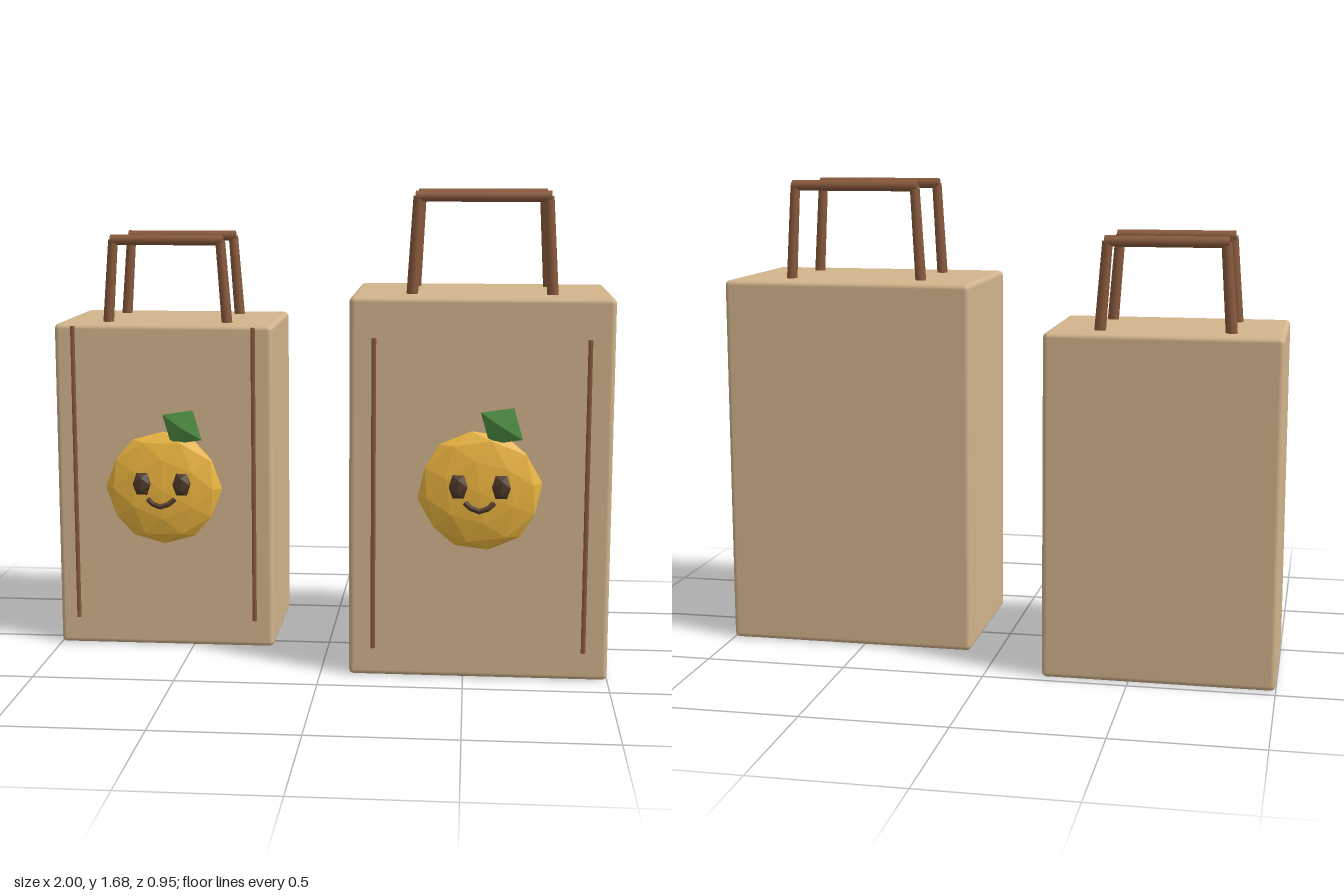
import * as THREE from 'three';
import { RoundedBoxGeometry } from 'three/addons/geometries/RoundedBoxGeometry.js';

const mat = (color, flatShading = false) =>
  new THREE.MeshStandardMaterial({ color, flatShading, side: THREE.DoubleSide });
const paper = mat(0xd2b48c);
const cord = mat(0x8b5a3c);
const orange = mat(0xf0b840, true);
const leafGreen = mat(0x4f8f42, true);
const dark = mat(0x4f3a2a, true);

function add(parent, name, geometry, material, x = 0, y = 0, z = 0) {
  const mesh = new THREE.Mesh(geometry, material);
  mesh.name = name;
  mesh.position.set(x, y, z);
  parent.add(mesh);
  return mesh;
}

// six-sided rod between two points in the xy plane
function rod(parent, name, x1, y1, x2, y2, r1, r2) {
  const a = new THREE.Vector3(x1, y1, 0), b = new THREE.Vector3(x2, y2, 0);
  const g = new THREE.CylinderGeometry(r2, r1, a.distanceTo(b), 6).rotateY(Math.PI / 6);
  const mesh = add(parent, name, g, cord, (x1 + x2) / 2, (y1 + y2) / 2, 0);
  mesh.quaternion.setFromUnitVectors(new THREE.Vector3(0, 1, 0), b.sub(a).normalize());
}

// carrying handle: two leaning legs and a crossbar
function makeHandle(foot, top, y0, y1) {
  const handle = new THREE.Group();
  handle.name = 'handle';
  for (const s of [-1, 1]) rod(handle, 'handleLeg', s * foot, y0 - 0.01, s * top, y1, 0.02, 0.018);
  rod(handle, 'handleBar', -top - 0.01, y1, top + 0.01, y1, 0.019, 0.019);
  return handle;
}

// smiling fruit, origin on the bag's front panel
function makeFruit(tilt) {
  const fruit = new THREE.Group();
  fruit.name = 'fruit';
  const body = new THREE.IcosahedronGeometry(0.215, 1).rotateZ(tilt).scale(1, 0.97, 0.21);
  add(fruit, 'fruitBody', body, orange, 0, 0, 0.015);
  const leaf = new THREE.OctahedronGeometry(1).scale(0.085, 0.075, 0.022).rotateZ(-0.57);
  add(fruit, 'leaf', leaf, leafGreen, 0.072, 0.227, 0.03);
  for (const s of [-1, 1]) {
    const eye = new THREE.IcosahedronGeometry(1).scale(0.037, 0.047, 0.022);
    add(fruit, 'eye', eye, dark, s * 0.073, 0.022, 0.062);
  }
  const smile = new THREE.QuadraticBezierCurve3(
    new THREE.Vector3(-0.048, -0.032, 0.07),
    new THREE.Vector3(0, -0.08, 0.112),
    new THREE.Vector3(0.048, -0.032, 0.07));
  add(fruit, 'mouth', new THREE.TubeGeometry(smile, 4, 0.01, 5), dark);
  return fruit;
}

function makeBag({ w, h, d, handleZ, foot, top, handleY, stripeX, faceY, tilt }) {
  const bag = new THREE.Group();
  bag.name = 'bag';
  add(bag, 'bagBody', new RoundedBoxGeometry(w, h, d, 2, 0.018), paper, 0, h / 2, 0);
  // handles near front and back
  for (const z of handleZ) {
    const handle = makeHandle(foot, top, h, handleY);
    handle.position.z = z;
    bag.add(handle);
  }
  // thin vertical seams on the front panel
  for (const s of [-1, 1]) {
    add(bag, 'seam', new THREE.CylinderGeometry(0.008, 0.008, 1.09, 4), cord, s * stripeX, 0.645, d / 2 + 0.006);
  }
  const fruit = makeFruit(tilt);
  fruit.position.set(0, faceY, d / 2);
  bag.add(fruit);
  return bag;
}

export function createModel() {
  const model = new THREE.Group();
  model.name = 'shoppingBags';

  const small = makeBag({
    w: 0.8, h: 1.197, d: 0.55, handleZ: [0.167, -0.167], foot: 0.221, top: 0.198,
    handleY: 1.497, stripeX: 0.33, faceY: 0.6, tilt: 0,
  });
  small.name = 'smallBag';
  small.position.set(-0.6, 0, -0.195);

  const large = makeBag({
    w: 0.9, h: 1.33, d: 0.615, handleZ: [0.167, -0.167], foot: 0.242, top: 0.222,
    handleY: 1.665, stripeX: 0.365, faceY: 0.67, tilt: 0.15,
  });
  large.name = 'largeBag';
  large.position.set(0.55, 0, 0.0675);

  model.add(small, large);
  return model;
}
